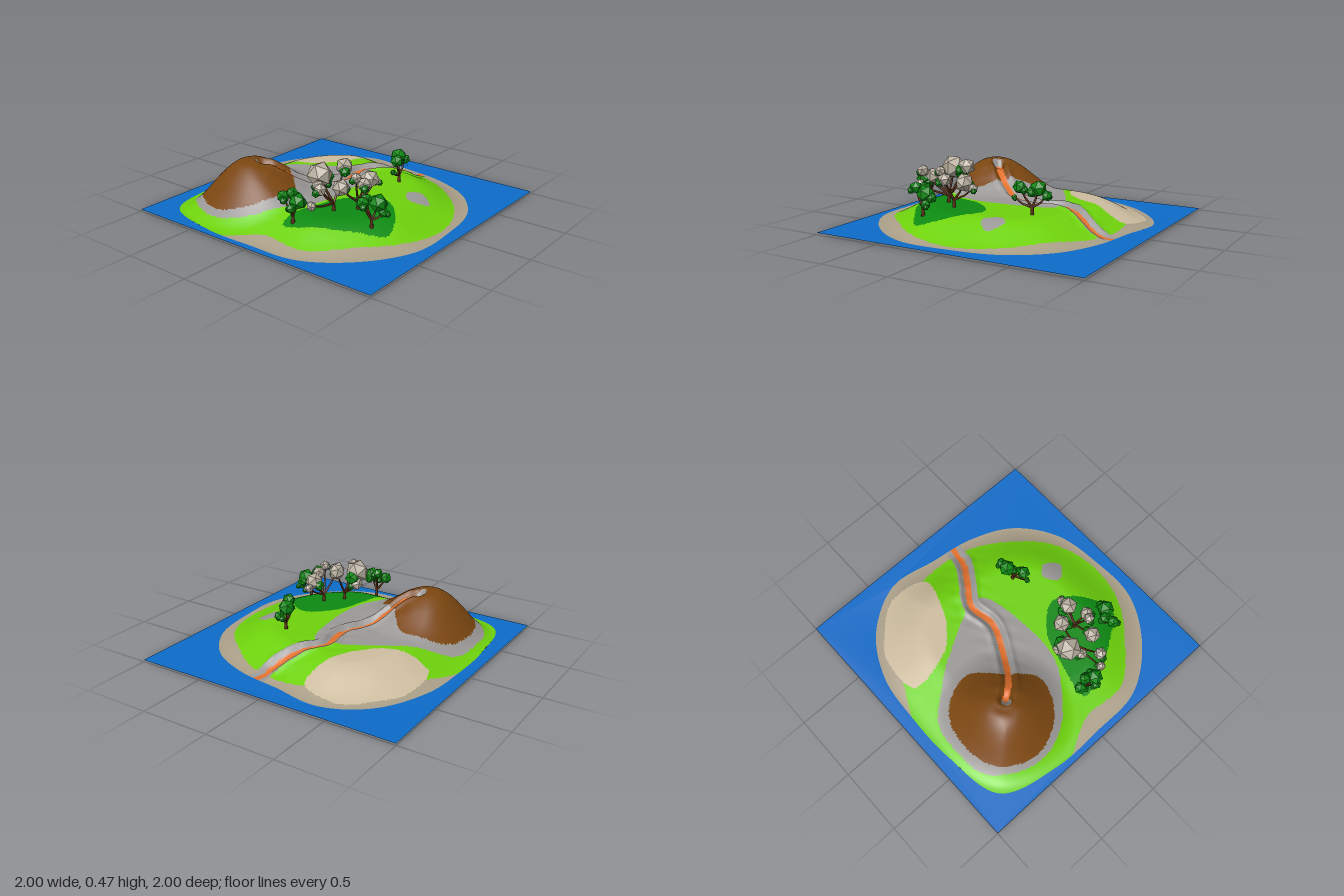
import * as THREE from 'three';

const mat = (name, color) => {
  const m = new THREE.MeshStandardMaterial({ color, side: THREE.DoubleSide });
  m.name = name;
  return m;
};
const M = {
  water: mat('sea blue', 0x0d6bc8), grass: mat('grass green', 0x6ed20c),
  forest: mat('forest green', 0x0d8a12), earth: mat('volcano brown', 0x7a4610),
  rock: mat('rock grey', 0x9b9997), lava: mat('lava orange', 0xe2702c),
  beach: mat('pale beach', 0xcdbda0), sand: mat('shore sand', 0xaa9f88),
  bark: mat('bark brown', 0x5c3018), blossom: mat('pale blossom', 0xb9b0a0),
};

// Smooth closed outline from radii at equal angles, starting at +x and turning toward +z
function outline(cx, cz, radii, n) {
  const pts = radii.map((r, i) => {
    const a = i / radii.length * Math.PI * 2;
    return new THREE.Vector3(cx + r * Math.cos(a), 0, cz + r * Math.sin(a));
  });
  return new THREE.CatmullRomCurve3(pts, true).getPoints(n).slice(0, n);
}

const coast = outline(0, 0, [.83, .84, .89, .91, .905, .97, .99, 1, .95, 1.02, 1.145, .98, .91, .94, .97, .95], 240);

// Ground covers, later ones lie over earlier ones
const covers = [
  ['grass', outline(0, 0, [.76, .76, .76, .82, .86, .87, .86, .9, .83, 1.1, 1.25, 1.05, .91, .81, .8, .78], 120)],
  ['forest', outline(-.4, .4, [.35, .29, .29, .18, .21, .45, .27, .28], 80)],
  ['beach', outline(.45, -.45, [.34, .4, .22, .2, .27, .43, .32, .27], 80)],
  ['rock', outline(-.4, -.4, [.56, .84, .61, .5, .42, .42, .44, .45, .47, .44, .47, .46], 90)],
  ['rock', outline(.14, .56, [.07, .1, .1, .08], 40)],
  ['earth', outline(-.42, -.44, [.36, .25, .36, .37, .38, .37, .34, .37], 80)],
];

// Course of the lava from the crater to the shore
const stream = new THREE.CatmullRomCurve3([[-.4, -.38], [-.32, -.28], [-.18, -.18], [.11, -.04], [.32, -.06],
  [.48, .04], [.65, .14], [.82, .17]].map(([x, z]) => new THREE.Vector3(x, 0, z))).getPoints(100);

const nearest = (pts, x, z) => Math.sqrt(pts.reduce((d, p) => Math.min(d, (p.x - x) ** 2 + (p.z - z) ** 2), 9));
const step = THREE.MathUtils.smoothstep;
const inside = (pts, x, z) => {
  let hit = false;
  pts.forEach((a, i) => {
    const b = pts[(i + 1) % pts.length];
    if ((a.z > z) !== (b.z > z) && x < (b.x - a.x) * (z - a.z) / (b.z - a.z) + a.x) hit = !hit;
  });
  return hit;
};

// The sea sheet dips slightly off the back right shore
const seaLevel = (x, z) => .014 - .014 * Math.exp(-((x - .75) ** 2 + (z + .6) ** 2) / .1);

// Shore slope, plateau, volcano cone, crater, lava channel and rough rock
function height(x, z) {
  const shore = nearest(coast, x, z), lava = nearest(stream, x, z);
  const cone = Math.hypot(x + .45, z + .43), crater = Math.hypot(x + .4, z + .38);
  const channel = .012 * Math.exp(-(((lava - .06) / .02) ** 2)) - .022 * (1 - step(lava, .015, .055));
  const rough = .003 * Math.sin(x * 41 + z * 13) * Math.sin(z * 37 - x * 9) * (1 - step(lava, .05, .25));
  return seaLevel(x, z) + .135 * step(shore, 0, .4) + .215 * (1 - step(cone, .03, .49))
    - .05 * Math.exp(-((crater / .06) ** 2)) + (channel + rough) * step(shore, 0, .15);
}

function coverAt(x, z) {
  const lava = nearest(stream, x, z);
  if (lava < .023) return 'lava';
  if (Math.hypot(x + .42, z + .39) < .035) return 'rock';
  let kind = 'sand';
  for (const [k, pts] of covers) if (inside(pts, x, z)) kind = k;
  return kind !== 'earth' && lava < .065 ? 'rock' : kind;
}

function island() {
  const g = new THREE.Group(), n = coast.length, rings = 90, pos = [], all = [], faces = {};
  g.name = 'island';
  for (let j = 0; j <= rings; j++) for (const p of coast) {
    const x = p.x * j / rings, z = p.z * j / rings;
    pos.push(x, height(x, z), z);
  }
  const tri = (...t) => {
    const mid = axis => t.reduce((s, i) => s + pos[i * 3 + axis], 0) / 3;
    (faces[coverAt(mid(0), mid(2))] ??= []).push(...t);
    all.push(...t);
  };
  for (let j = 0; j < rings; j++) for (let i = 0; i < n; i++) {
    const k = (i + 1) % n, a = j * n + i, b = a + n, c = (j + 1) * n + k, d = j * n + k;
    tri(a, c, b);
    if (j) tri(a, d, c);
  }
  const ground = new THREE.BufferGeometry();
  ground.setAttribute('position', new THREE.Float32BufferAttribute(pos, 3));
  ground.setIndex(all);
  ground.computeVertexNormals();
  // One mesh per ground cover, sharing the smooth surface
  for (const kind in faces) {
    const geo = new THREE.BufferGeometry();
    geo.setAttribute('position', ground.attributes.position);
    geo.setAttribute('normal', ground.attributes.normal);
    geo.setIndex(faces[kind]);
    const mesh = new THREE.Mesh(geo, M[kind]);
    mesh.name = kind + 'Ground';
    g.add(mesh);
  }
  return g;
}

// Square sea sheet, open under the island
function sea() {
  const shape = new THREE.Shape().moveTo(-1, -1).lineTo(1, -1).lineTo(1, 1).lineTo(-1, 1);
  shape.holes.push(new THREE.Path(coast.map(p => new THREE.Vector2(p.x, -p.z))));
  const geo = new THREE.ShapeGeometry(shape).rotateX(-Math.PI / 2), p = geo.attributes.position;
  for (let i = 0; i < p.count; i++) p.setY(i, seaLevel(p.getX(i), p.getZ(i)));
  geo.computeVertexNormals();
  const mesh = new THREE.Mesh(geo, M.water);
  mesh.name = 'sea';
  return mesh;
}

function limb(name, a, b, r0, r1) {
  const d = b.clone().sub(a);
  const mesh = new THREE.Mesh(new THREE.CylinderGeometry(r1, r0, d.length(), 6), M.bark);
  mesh.position.copy(a).addScaledVector(d, .5);
  mesh.quaternion.setFromUnitVectors(new THREE.Vector3(0, 1, 0), d.normalize());
  mesh.name = name;
  return mesh;
}

function clump(name, material, at, r, turn) {
  const mesh = new THREE.Mesh(new THREE.IcosahedronGeometry(r), material);
  mesh.position.copy(at);
  mesh.rotation.set(turn * 1.3, turn * 2.1, turn * .7);
  mesh.name = name;
  return mesh;
}

// Trunk, bent branches to the crowns [x, y, z, radius], and a small green bud beside each crown
function tree(name, x, z, material, crowns) {
  const g = new THREE.Group(), y = height(x, z), fork = new THREE.Vector3(x, y + .05, z);
  g.name = name;
  g.add(limb('trunk', new THREE.Vector3(x, y - .01, z), fork, .014, .01));
  crowns.forEach(([cx, cy, cz, r], i) => {
    const tip = new THREE.Vector3(cx, cy, cz), bend = fork.clone().lerp(tip, .55);
    bend.y -= .012;
    g.add(limb('branch', fork, bend, .009, .007), limb('twig', bend, tip, .007, .005));
    g.add(clump('crown', material, tip, r, i));
    const bud = new THREE.Vector3(Math.cos(i * 2.4), -.5, Math.sin(i * 2.4)).multiplyScalar(r * .75).add(tip);
    g.add(clump('bud', M.forest, bud, r * .62, i + .5));
  });
  return g;
}

export function createModel() {
  const model = new THREE.Group();
  model.name = 'volcanicIsland';
  model.add(
    sea(), island(),
    tree('eastTree', .28, .31, M.forest,
      [[.2, .335, .34, .048], [.31, .325, .28, .06], [.38, .285, .29, .038], [.16, .26, .34, .022]]),
    tree('westTree', -.68, .14, M.forest,
      [[-.69, .28, .19, .058], [-.68, .28, .06, .045], [-.73, .24, .17, .036], [-.66, .31, .12, .042]]),
    tree('southTree', -.42, .58, M.forest,
      [[-.38, .275, .6, .063], [-.49, .3, .56, .045], [-.43, .3, .54, .042], [-.36, .21, .63, .036]]),
    tree('palePlateauTree', -.42, .27, M.blossom,
      [[-.44, .385, .17, .09], [-.28, .415, .25, .062], [-.52, .34, .22, .042], [-.38, .31, .14, .05],
        [-.61, .365, .31, .046], [-.66, .26, .28, .035]]),
    tree('paleForestTree', -.3, .38, M.blossom,
      [[-.47, .35, .37, .06], [-.33, .35, .45, .05], [-.2, .335, .4, .066], [-.13, .3, .4, .036],
        [-.38, .4, .42, .04]]),
  );
  return model;
}
